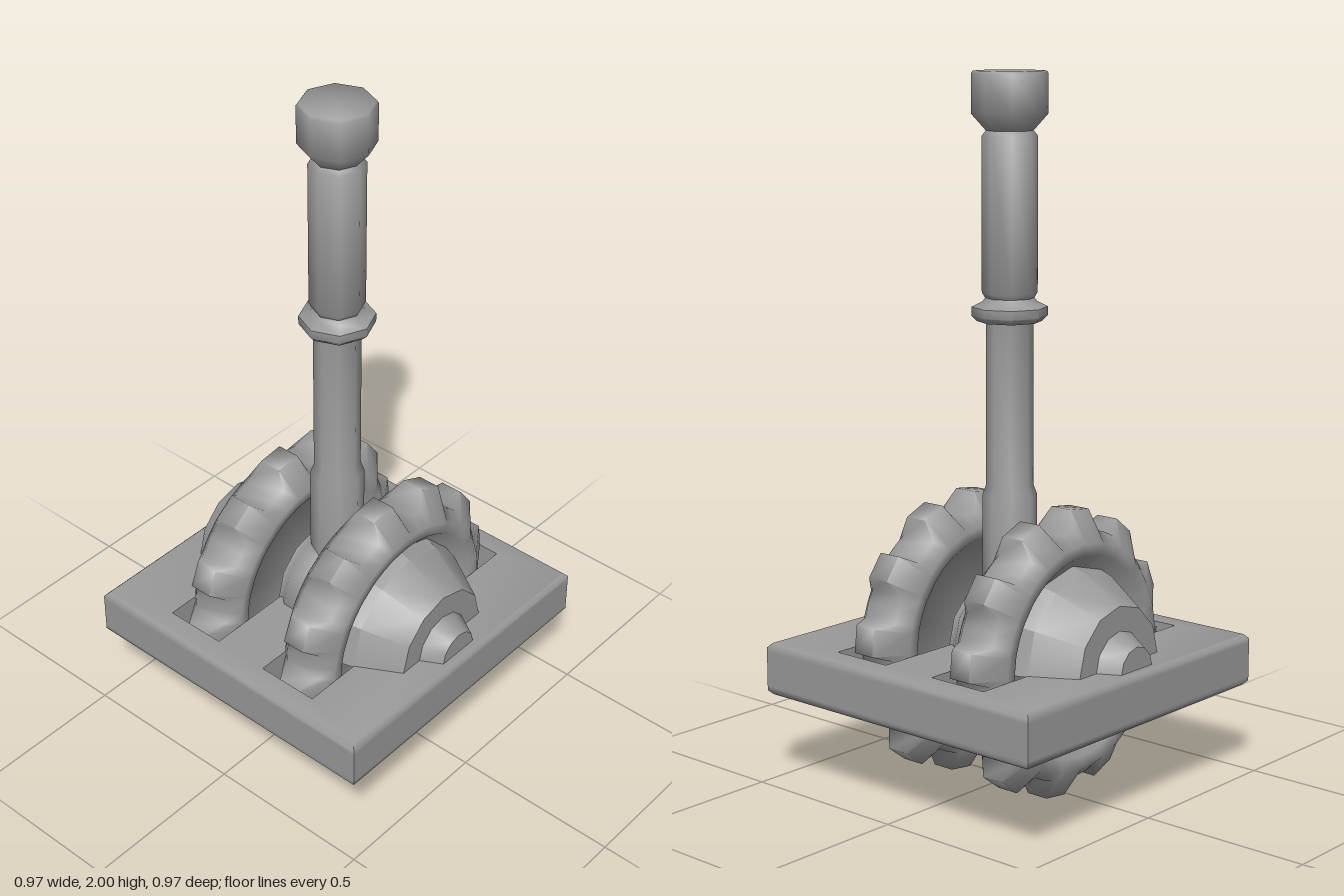
import * as THREE from 'three';
import { toCreasedNormals } from 'three/addons/utils/BufferGeometryUtils.js';

const AXLE_Y = 0.41; // height of the wheel axle
const WHEEL_Z = 0.178; // distance of each wheel from the middle
const TEETH = 12;
const BASE = { half: 0.484, bottom: 0.263, height: 0.15, chamfer: 0.012 };
const SLOT = { halfX: 0.414, halfZ: 0.093 };

const material = new THREE.MeshStandardMaterial({ color: 0x999999 });
const points = list => list.map(([r, h]) => new THREE.Vector2(r, h));

function part(name, geometry, crease = 0.5) {
  const mesh = new THREE.Mesh(toCreasedNormals(geometry, crease), material);
  mesh.name = name;
  return mesh;
}

// Square plate with two sharp-edged pockets and a chamfered outer rim
function createBase() {
  const rect = (target, x, z0, z1) => {
    target.moveTo(-x, z0);
    target.lineTo(x, z0);
    target.lineTo(x, z1);
    target.lineTo(-x, z1);
    target.closePath();
    return target;
  };
  const { half, bottom, height, chamfer } = BASE;
  const shape = rect(new THREE.Shape(), half, -half, half);
  for (const z of [-WHEEL_Z, WHEEL_Z]) {
    shape.holes.push(rect(new THREE.Path(), SLOT.halfX, z - SLOT.halfZ, z + SLOT.halfZ));
  }
  const geometry = new THREE.ExtrudeGeometry(shape, { depth: height, steps: 12, bevelEnabled: false });
  const pos = geometry.attributes.position;
  const inset = 1 - chamfer / half;
  for (let i = 0; i < pos.count; i++) {
    const z = pos.getZ(i);
    const atEnd = z < 0.001 || z > height - 0.001;
    if (atEnd && Math.abs(pos.getX(i)) > half - 0.01) {
      pos.setXY(i, pos.getX(i) * inset, pos.getY(i) * inset);
    }
  }
  geometry.rotateX(-Math.PI / 2).translate(0, bottom, 0);
  return part('basePlate', geometry, 0.9);
}

// Closed bottom of one pocket
function createPocketFloor() {
  const thickness = 0.015;
  const geometry = new THREE.BoxGeometry(2 * SLOT.halfX, thickness, 2 * SLOT.halfZ);
  geometry.translate(0, BASE.bottom + thickness / 2, 0);
  return part('pocketFloor', geometry);
}

// Toothed disc: a lathe whose rim is pushed out and snapped to tooth flanks
function createWheelGeometry() {
  const profile = [
    [0, -0.05], [0.25, -0.05], [0.285, -0.088], [0.32, -0.0925], [0.352, -0.058],
    [0.352, 0.058], [0.32, 0.0925], [0.285, 0.088], [0.25, 0.05], [0, 0.05],
  ];
  const flank = [-8.5, -5.5, 5.5, 8.5, 15]; // degrees around each tooth centre
  const steps = flank.length;
  const geometry = new THREE.LatheGeometry(points(profile), TEETH * steps);
  const pos = geometry.attributes.position;
  for (let i = 0; i <= TEETH * steps; i++) {
    const step = i % steps;
    const angle = THREE.MathUtils.degToRad(Math.floor(i / steps) * (360 / TEETH) + flank[step]);
    const onTooth = step === 1 || step === 2;
    profile.forEach(([r, h], j) => {
      const tip = onTooth && r > 0.35;
      const radius = tip ? 0.407 : r;
      const z = tip ? Math.sign(h) * 0.034 : h;
      pos.setXYZ(i * profile.length + j, radius * Math.sin(angle), z, radius * Math.cos(angle));
    });
  }
  geometry.rotateX(Math.PI / 2);
  geometry.rotateZ(THREE.MathUtils.degToRad(7));
  return geometry;
}

// Half cone with a small stepped cap, resting on the plate
function createHub() {
  const geometry = new THREE.LatheGeometry(points([
    [0.255, 0.22], [0.24, 0.27], [0.17, 0.395], [0.1, 0.395], [0.067, 0.455], [0, 0.455],
  ]), 6, Math.PI / 2, Math.PI);
  geometry.rotateX(Math.PI / 2);
  return part('hub', geometry);
}

// Eight-sided handle with collar, grip and knob
function createLever() {
  const geometry = new THREE.LatheGeometry(points([
    [0, 0.45], [0.077, 0.45], [0.077, 0.83], [0.066, 0.86], [0.066, 1.32],
    [0.09, 1.32], [0.105, 1.335], [0.105, 1.36], [0.075, 1.375], [0.068, 1.385],
    [0.077, 1.4], [0.077, 1.825], [0.065, 1.84], [0.105, 1.885], [0.105, 1.993],
    [0.1, 2], [0, 2],
  ]), 8);
  return part('lever', geometry, 1);
}

// Short drum between the wheels that carries the lever
function createDrum() {
  const geometry = new THREE.LatheGeometry(points([
    [0, -0.09], [0.155, -0.09], [0.155, -0.075], [0.173, -0.055],
    [0.173, 0.055], [0.155, 0.075], [0.155, 0.09], [0, 0.09],
  ]), 12);
  geometry.rotateX(Math.PI / 2);
  return part('centreDrum', geometry, 0.9);
}

export function createModel() {
  const model = new THREE.Group();
  model.name = 'leverMechanism';
  model.add(createBase(), createLever());

  const drum = createDrum();
  drum.position.y = AXLE_Y;
  model.add(drum);

  for (const [side, sign] of [['front', 1], ['back', -1]]) {
    const floor = createPocketFloor();
    floor.name = side + 'PocketFloor';
    floor.position.z = sign * WHEEL_Z;
    const wheel = part(side + 'Wheel', createWheelGeometry(), 1.4);
    wheel.position.set(0, AXLE_Y, sign * WHEEL_Z);
    const hub = createHub();
    hub.name = side + 'Hub';
    hub.position.y = AXLE_Y;
    if (sign < 0) hub.rotation.y = Math.PI;
    model.add(floor, wheel, hub);
  }
  return model;
}
